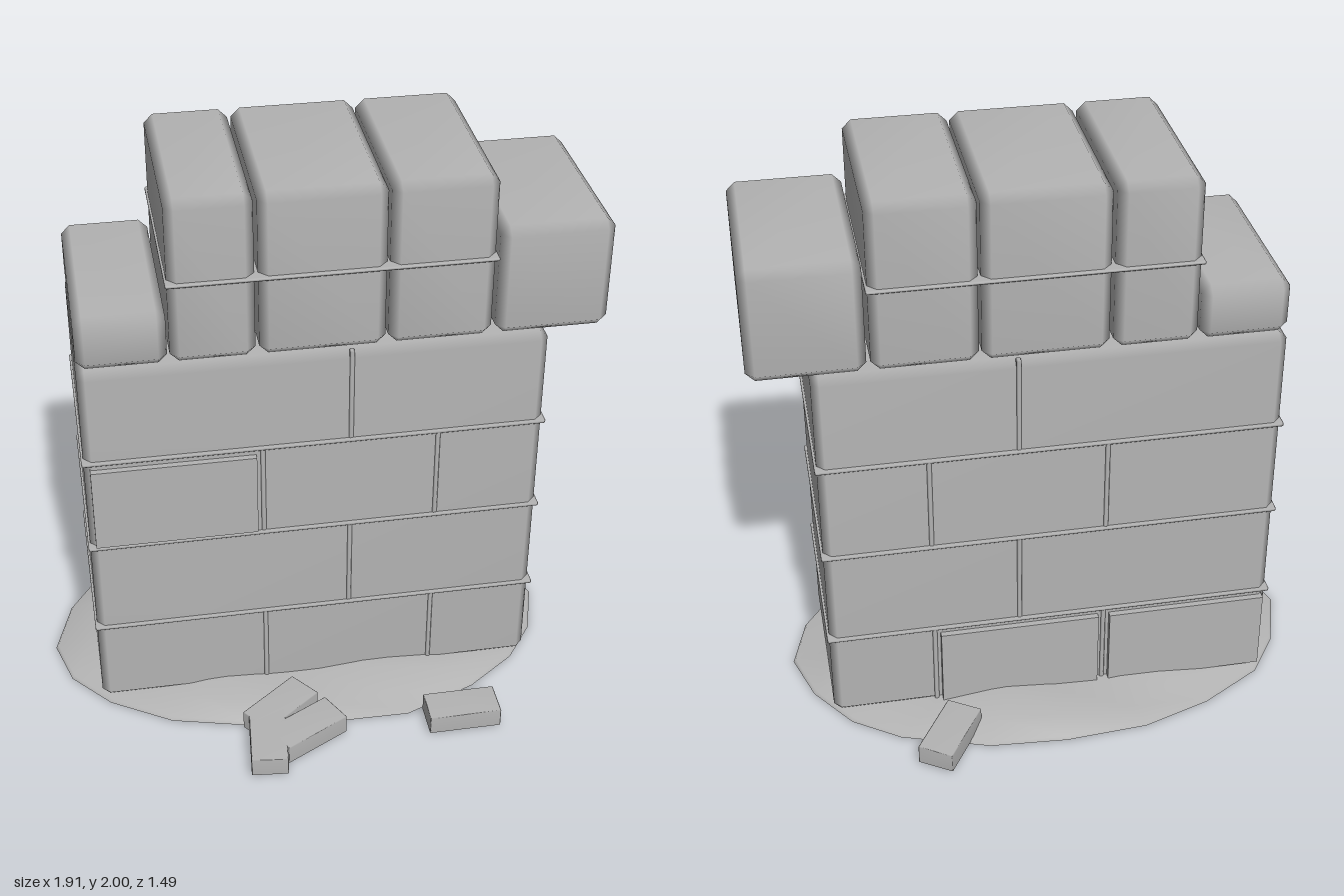
import * as THREE from 'three';
import { ConvexGeometry } from 'three/addons/geometries/ConvexGeometry.js';
import { mergeVertices } from 'three/addons/utils/BufferGeometryUtils.js';

const stone = new THREE.MeshStandardMaterial({ color: 0xb4b4b4 });
stone.name = 'stoneGrey';
const ground = new THREE.MeshStandardMaterial({ color: 0xb4b4b4, side: THREE.DoubleSide });
ground.name = 'groundGrey';

// Box with chamfered edges and normals smoothed across them
function chamferBox(w, h, d, c) {
  const points = [];
  const half = [w / 2, h / 2, d / 2];
  for (const sx of [-1, 1]) for (const sy of [-1, 1]) for (const sz of [-1, 1]) {
    for (let face = 0; face < 3; face++) {
      const p = half.map((s, axis) => (axis === face ? s : s - c));
      points.push(new THREE.Vector3(sx * p[0], sy * p[1], sz * p[2]));
    }
  }
  const geometry = new ConvexGeometry(points);
  geometry.deleteAttribute('normal');
  const smooth = mergeVertices(geometry, 1e-5);
  smooth.computeVertexNormals();
  return smooth;
}

// Low uneven mound built from scaled rings of its outline
function moundGeometry() {
  const outline = [
    [-0.96, -0.05], [-0.91, 0.13], [-0.78, 0.28], [-0.57, 0.41], [-0.3, 0.48], [-0.02, 0.51],
    [0.27, 0.515], [0.53, 0.41], [0.71, 0.28], [0.82, 0.13], [0.88, -0.07], [0.82, -0.26],
    [0.7, -0.43], [0.54, -0.54], [0.24, -0.64], [-0.03, -0.66], [-0.32, -0.64], [-0.56, -0.56],
    [-0.78, -0.43], [-0.89, -0.27],
  ];
  const n = outline.length, cx = -0.04, cz = -0.07;
  const rings = [[1, 0], [0.99, 0.012], [0.85, 0.03], [0.65, 0.055], [0.35, 0.05]];
  const positions = [], index = [];
  rings.forEach(([s, y], r) => outline.forEach(([x, z], i) => {
    const bump = r > 1 ? 0.012 * Math.sin(i * 1.7 + r) : 0;
    positions.push(cx + (x - cx) * s, y + bump, cz + (z - cz) * s);
    if (r > 0) {
      const j = (i + 1) % n, a = (r - 1) * n, b = r * n;
      index.push(a + i, a + j, b + i, a + j, b + j, b + i);
    }
  }));
  const last = (rings.length - 1) * n;
  positions.push(cx, 0.045, cz);
  for (let i = 0; i < n; i++) index.push(last + i, last + (i + 1) % n, rings.length * n);
  const geometry = new THREE.BufferGeometry();
  geometry.setAttribute('position', new THREE.Float32BufferAttribute(positions, 3));
  geometry.setIndex(index);
  geometry.computeVertexNormals();
  return geometry;
}

export function createModel() {
  const model = new THREE.Group();
  model.name = 'ruinedWall';

  function add(name, geometry, x, y, z, turn = 0, material = stone) {
    const mesh = new THREE.Mesh(geometry, material);
    mesh.name = name;
    mesh.position.set(x, y, z);
    mesh.rotation.y = turn;
    model.add(mesh);
  }
  // Place a block by its lower and upper limits
  function block(name, x0, x1, y0, y1, z0, z1, c) {
    add(name, chamferBox(x1 - x0, y1 - y0, z1 - z0, c),
      (x0 + x1) / 2, (y0 + y1) / 2, (z0 + z1) / 2);
  }

  // Wall body
  block('wallBody', -0.805, 0.757, 0.02, 1.412, -0.4, 0.277, 0.027);

  // Broken top course
  [
    [-0.803, -0.508, 1.61], [-0.5, -0.221, 2], [-0.209, 0.207, 2],
    [0.216, 0.562, 2], [0.575, 0.955, 1.81],
  ].forEach(([x0, x1, top]) => block('topStone', x0, x1, 1.415, top, -0.4, 0.272, 0.03));

  // Horizontal mortar joints wrap round the wall
  for (const y of [0.357, 0.71, 1.063]) {
    block('horizontalMortar', -0.812, 0.765, y - 0.008, y + 0.008, -0.408, 0.285, 0.004);
  }
  block('topMortar', -0.507, 0.569, 1.703, 1.717, -0.408, 0.281, 0.004);

  // Staggered vertical joints on front and back
  [[-0.208, 0.392], [0.092], [-0.208, 0.392], [0.092]].forEach((joints, row) => {
    for (const x of joints) {
      const y0 = 0.01 + row * 0.353;
      block('verticalMortar', x - 0.008, x + 0.008, y0, y0 + 0.347, 0.26, 0.282, 0.004);
      block('verticalMortar', x - 0.008, x + 0.008, y0, y0 + 0.347, -0.406, -0.38, 0.004);
    }
  });

  // Raised facing stones
  const facing = new THREE.BoxGeometry(0.555, 0.31, 0.04);
  add('frontFacingStone', facing, -0.508, 0.883, 0.279);
  const backFacing = new THREE.BoxGeometry(0.56, 0.3, 0.04);
  add('backFacingStone', backFacing, -0.508, 0.185, -0.402);
  add('backFacingStone', backFacing, 0.092, 0.185, -0.402);

  // Earth mound under the wall
  add('groundMound', moundGeometry(), 0, 0, 0, 0, ground);

  // Fallen bricks: x, z, turn
  const brick = chamferBox(0.256, 0.073, 0.128, 0.003);
  [
    [0.452, 0.57, 0], [0.375, -0.605, 1.01], [-0.185, 0.462, 0.66],
    [-0.108, 0.577, 0.49], [-0.252, 0.61, 1.47],
  ].forEach(([x, z, turn]) => add('fallenBrick', brick, x, 0.042, z, turn));

  return model;
}
